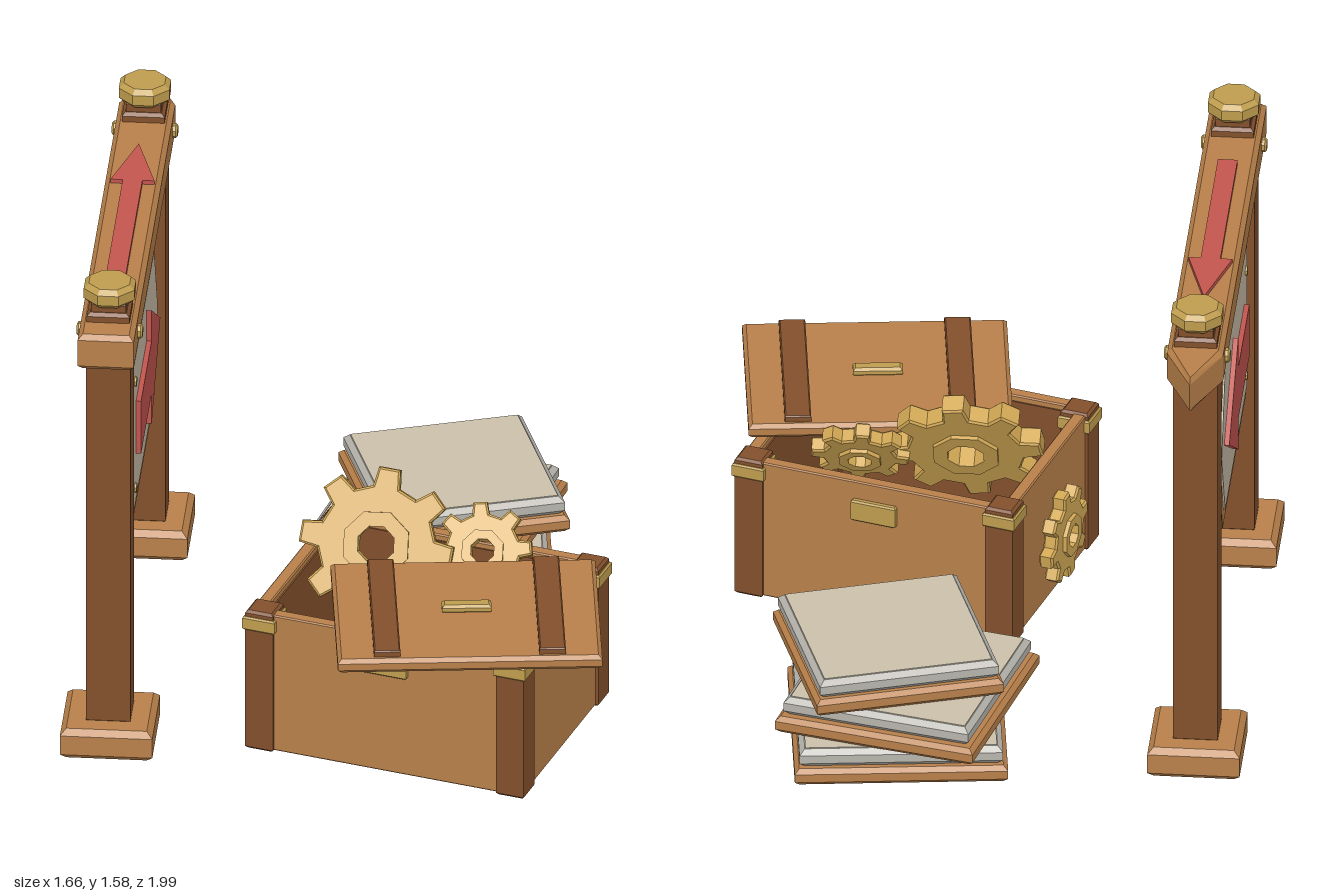
import * as THREE from 'three';

const mat = (name, color) => Object.assign(new THREE.MeshStandardMaterial({ color }), { name });

export function createModel() {
  const wood = mat('wood', 0xb8804a), dark = mat('dark wood', 0x83502c), brass = mat('brass', 0xbf9d4e);
  const gold = mat('gear gold', 0xd2a855), red = mat('red paint', 0xc2554e);
  const cream = mat('cream', 0xcac0aa), stone = mat('grey edge', 0xb7b5ad);
  const model = new THREE.Group();
  model.name = 'signpostWithCrate';

  // ---- helpers ----
  const group = (name, parent, x = 0, y = 0, z = 0, ry = 0) => {
    const g = new THREE.Group();
    g.name = name;
    g.position.set(x, y, z);
    g.rotation.y = ry;
    parent.add(g);
    return g;
  };
  const add = (parent, name, geo, material, x = 0, y = 0, z = 0) => {
    const m = new THREE.Mesh(geo, material);
    m.name = name;
    m.position.set(x, y, z);
    parent.add(m);
    return m;
  };
  const pts = (list) => list.map(([x, y]) => new THREE.Vector2(x, y));
  const ngon = (n, r, phase = Math.PI / n) => Array.from({ length: n }, (_, i) => {
    const a = phase + (i / n) * Math.PI * 2;
    return [r * Math.cos(a), r * Math.sin(a)];
  });
  // outline extruded along z, centred, with chamfered edges
  const slab = (outline, depth, bevel = 0, hole) => {
    const s = new THREE.Shape(pts(outline));
    if (hole) s.holes.push(new THREE.Path(pts(hole)));
    const g = new THREE.ExtrudeGeometry(s, {
      depth: depth - 2 * bevel, bevelEnabled: bevel > 0, bevelSegments: 1,
      bevelSize: bevel, bevelThickness: bevel, bevelOffset: -bevel,
    });
    return g.translate(0, 0, -depth / 2 + bevel);
  };
  const flat = (...a) => slab(...a).rotateX(-Math.PI / 2);   // outline (x, -z), thickness in y
  const side = (...a) => slab(...a).rotateY(Math.PI / 2);    // outline (-z, y), thickness in x
  const box = (w, h, d, b = 0.012) =>
    flat([[-w / 2, -d / 2], [w / 2, -d / 2], [w / 2, d / 2], [-w / 2, d / 2]], h, b);
  const arrow = (tail, neck, tip, shaft, head) => [
    [tail, -shaft], [neck, -shaft], [neck, -head], [tip, 0], [neck, head], [neck, shaft], [tail, shaft]];
  const pointed = (back, shoulder, tip, h) => [[back, -h], [shoulder, -h], [tip, 0], [shoulder, h], [back, h]];

  // ---- sign stand ----
  const stand = group('signStand', model, -0.69);
  for (const z of [0.58, -0.68]) {
    const post = group('post', stand, 0, 0, z);
    add(post, 'foot', box(0.28, 0.1, 0.28, 0.018), wood, 0, 0.05);
    add(post, 'shaft', box(0.135, 1.3, 0.135), dark, 0, 0.74);
    add(post, 'neck', box(0.13, 0.05, 0.13, 0.01), dark, 0, 1.475);
    add(post, 'collar', box(0.105, 0.04, 0.105, 0.005), dark, 0, 1.51);
    add(post, 'cap', flat(ngon(8, 0.083), 0.063, 0.015), brass, 0, 1.552);
    add(post, 'bolt', side(ngon(8, 0.023), 0.2, 0.006), brass, 0, 1.412);
  }
  add(stand, 'beam', flat(pointed(-0.735, 0.76, 0.945, 0.085).map(([u, v]) => [-v, u]), 0.118, 0.015), wood, 0, 1.412);
  add(stand, 'beamArrow', flat(arrow(-0.36, 0.23, 0.46, 0.03, 0.067).map(([u, v]) => [-v, u]), 0.016), red, 0, 1.476);

  // ---- hanging sign ----
  const sign = group('hangingSign', stand, 0, 0.925, 0);
  add(sign, 'signBoard', side(pointed(-0.445, 0.39, 0.545, 0.315), 0.1, 0.018), wood);
  for (const s of [-1, 1]) {
    add(sign, 'signPanel', side(pointed(-0.385, 0.355, 0.475, 0.247), 0.009), cream, s * 0.051);
    add(sign, 'signArrow', side(arrow(-0.3, 0.08, 0.39, 0.09, 0.195), 0.018), red, s * 0.062);
    for (const y of [-0.183, 0.183])
      add(sign, 'pin', side(ngon(8, 0.016), 0.014), brass, s * 0.055, y, 0.345);
  }
  for (const z of [0.26, -0.355]) {
    const hanger = group('hanger', sign, 0, 0, z);
    add(hanger, 'bracket', side([[-0.034, 0.28], [0.034, 0.28], [0.02, 0.345], [-0.02, 0.345]], 0.115, 0.004), brass);
    const link = new THREE.TorusGeometry(0.024, 0.01, 6, 10);
    add(hanger, 'lowerLink', link, brass, 0, 0.365).rotation.y = Math.PI / 2;
    add(hanger, 'upperLink', link, brass, 0, 0.395);
    add(hanger, 'eyeStem', new THREE.CylinderGeometry(0.01, 0.01, 0.03, 6), brass, 0, 0.425);
  }

  // ---- stacked slabs: x, z, turn, wood size, tile size ----
  const stack = group('slabStack', model);
  [[0.225, -0.605, 0.123, 0.645, 0.615], [0.195, -0.62, -0.24, 0.63, 0.59], [0.255, -0.585, 0.32, 0.58, 0.555]]
    .forEach(([x, z, turn, w, t], i) => {
      const layer = group('slab', stack, x, i * 0.118, z, turn);
      add(layer, 'backing', box(w, 0.055, w, 0.014), wood, 0, 0.0275);
      add(layer, 'tile', box(t, 0.059, t, 0.016), stone, 0, 0.0845);
      add(layer, 'tileFace', box(t - 0.036, 0.004, t - 0.036, 0), cream, 0, 0.1145);
    });

  // ---- crate ----
  const crate = group('crate', model, 0.255, 0, 0.385, -0.286);
  const hx = 0.406, hz = 0.312;
  add(crate, 'floor', box(0.8, 0.03, 0.61, 0), dark, 0, 0.02);
  for (const s of [-1, 1]) {
    add(crate, 'longWall', box(0.8, 0.465, 0.04, 0.004), wood, 0, 0.237, s * (hz + 0.015));
    add(crate, 'shortWall', box(0.04, 0.465, 0.6, 0.004), wood, s * (hx + 0.015), 0.237, 0);
    add(crate, 'longLining', box(0.74, 0.42, 0.006, 0), dark, 0, 0.24, s * (hz - 0.007));
    add(crate, 'shortLining', box(0.006, 0.42, 0.56, 0), dark, s * (hx - 0.007), 0.24, 0);
    add(crate, 'nameplate', box(0.145, 0.07, 0.025, 0.005), brass, 0, 0.375, s * (hz + 0.04));
    for (const t of [-1, 1]) {
      add(crate, 'cornerPost', box(0.09, 0.475, 0.09, 0.008), dark, s * hx, 0.2375, t * hz);
      add(crate, 'cornerBand', box(0.104, 0.045, 0.104, 0.005), brass, s * hx, 0.433, t * hz);
    }
  }

  // ---- lid lying askew ----
  const lid = group('lid', model, 0.395, 0, 0.63, 0.12);
  add(lid, 'lidBoard', box(0.8, 0.046, 0.62), wood, 0, 0.503);
  for (const s of [-1, 1]) add(lid, 'strap', box(0.08, 0.024, 0.58, 0.004), dark, s * 0.25, 0.534);
  add(lid, 'handle', box(0.15, 0.028, 0.045, 0.008), brass, 0, 0.536);

  // ---- gears ----
  const gear = (parent, name, r, depth, phase, x, y, z) => {
    const n = 8, root = r * 0.76, outline = [];
    for (let i = 0; i < n; i++) {
      const a = phase + (i / n) * Math.PI * 2;
      for (const [off, rad] of [[-0.23, root], [-0.14, r], [0.14, r], [0.23, root]])
        outline.push([rad * Math.cos(a + off), rad * Math.sin(a + off)]);
    }
    const g = group(name, parent, x, y, z);
    const hole = ngon(8, r * 0.25);
    add(g, 'gearWheel', slab(outline, depth, 0.006, hole), gold);
    add(g, 'gearHub', slab(ngon(8, r * 0.45), depth + 0.025, 0, hole), gold);
    return g;
  };
  gear(model, 'largeGear', 0.235, 0.065, -0.14, 0.09, 0.52, 0.235).rotation.x = -0.48;
  gear(model, 'smallGear', 0.15, 0.05, 0.1, 0.41, 0.495, 0.21).rotation.x = -0.6;
  gear(crate, 'sideGear', 0.15, 0.045, 0.15, -0.48, 0.22, -0.01).rotation.y = -Math.PI / 2;

  return model;
}
